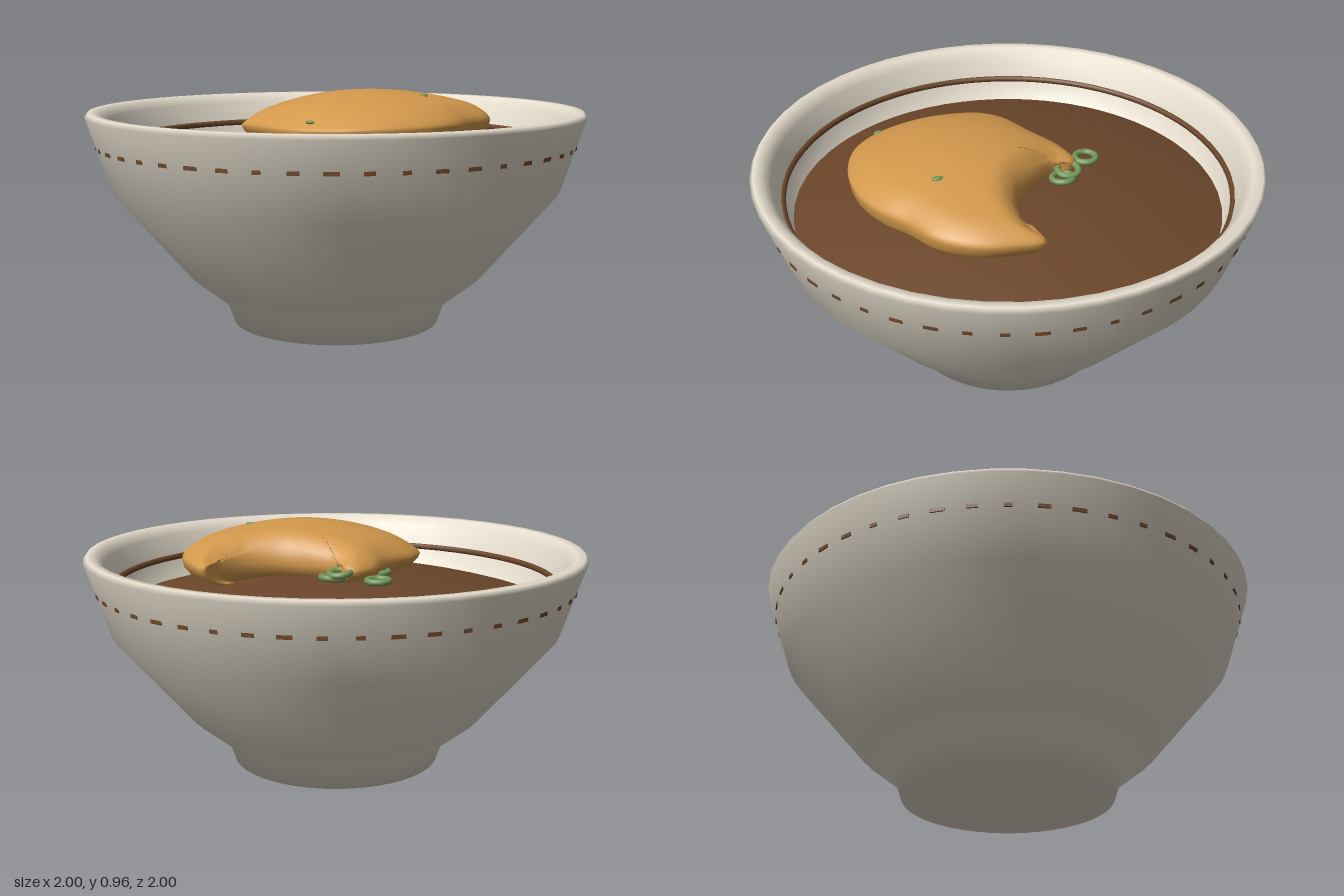
import * as THREE from 'three';

const material = (name, color) => {
  const m = new THREE.MeshStandardMaterial({ color });
  m.name = name;
  return m;
};

export function createModel() {
  const ceramic = material('cream ceramic', 0xe6dece);
  const brown = material('brown sauce', 0x6b462a);
  const golden = material('golden crust', 0xd2984c);
  const green = material('scallion green', 0x739659);

  const group = new THREE.Group();
  const add = (name, geometry, mat, x = 0, y = 0, z = 0) => {
    const mesh = new THREE.Mesh(geometry, mat);
    mesh.name = name;
    mesh.position.set(x, y, z);
    group.add(mesh);
    return mesh;
  };
  const lathe = (profile, segments) =>
    new THREE.LatheGeometry(profile.map(([r, y]) => new THREE.Vector2(r, y)), segments);

  // Bowl: foot, flared wall, rim and inside
  add('bowl', lathe([
    [0, 0], [0.42, 0], [0.45, 0.085], [0.6, 0.205], [0.9, 0.555], [0.998, 0.85], [0.985, 0.868],
    [0.95, 0.866], [0.92, 0.83], [0.885, 0.735], [0.85, 0.645], [0.62, 0.36], [0, 0.28],
  ], 48), ceramic);

  // Gently domed sauce surface
  const dome = [];
  for (let i = 0; i <= 10; i++) {
    const r = 0.853 * (1 - i / 10);
    dome.push([r, 0.65 + 0.13 * (1 - (r / 0.853) ** 2)]);
  }
  add('sauce', lathe(dome, 64), brown);

  // Sauce line inside the wall and the dashes around the outside
  add('innerLine', new THREE.TorusGeometry(0.885, 0.013, 8, 96).rotateX(Math.PI / 2), brown, 0, 0.738, 0);
  const dash = new THREE.BoxGeometry(0.05, 0.017, 0.008);
  for (let i = 0; i < 48; i++) {
    const a = ((i + 0.5) / 48) * Math.PI * 2;
    const mark = add('outerDash', dash, brown, Math.sin(a) * 0.9565, 0.737, Math.cos(a) * 0.9565);
    mark.rotation.y = a;
    mark.scale.x = 0.6 + 0.5 * Math.sin(i * 2.3) ** 2;
  }

  // Fried cutlet: bitten outline with a domed top rounded off near its edge
  const outline = new THREE.CatmullRomCurve3([
    [0.1, -0.25], [0, -0.24], [-0.12, -0.18], [-0.3, -0.14], [-0.4, -0.06], [-0.43, 0.1],
    [-0.44, 0.25], [-0.42, 0.39], [-0.33, 0.52], [-0.18, 0.6], [0, 0.625], [0.15, 0.59],
    [0.26, 0.53], [0.4, 0.47], [0.5, 0.36], [0.55, 0.22], [0.56, 0.115], [0.47, 0.143],
    [0.35, 0.13], [0.24, 0.06], [0.16, -0.05], [0.11, -0.15], [0.125, -0.22],
  ].map(([x, z]) => new THREE.Vector3(x, 0, z)), true).getSpacedPoints(160).slice(0, 160);
  const edgeY = (z) => 0.825 + 0.03 * (z - 0.2);
  const crustY = (x, z) => {
    const d = Math.min(...outline.map((p) => Math.hypot(p.x - x, p.z - z)));
    const top = 0.957 - (x > 0 ? 0.3 : 0.5) * x * x - 0.48 * (z - 0.21) ** 2;
    const round = Math.sqrt(1 - (1 - Math.min(d / 0.1, 1)) ** 2);
    return edgeY(z) + (Math.max(top, 0.845) - edgeY(z)) * round;
  };
  const cx = 0.03, cz = 0.26;
  const lower = [[0, 0.735], [0.8, 0.75], [0.94, 0.775], [0.985, 0.8]];
  const upper = [1, 0.992, 0.975, 0.95, 0.915, 0.87, 0.82, 0.76, 0.7, 0.62, 0.53, 0.43, 0.32, 0.2, 0.08, 0];
  const rows = [...lower, ...upper.map((t) => [t])];
  const positions = [], index = [], n = outline.length;
  rows.forEach(([t, y], i) => outline.forEach((p, j) => {
    const x = cx + (p.x - cx) * t, z = cz + (p.z - cz) * t;
    positions.push(x, y ?? crustY(x, z), z);
    if (i === rows.length - 1) return;
    const a = i * n + j, b = i * n + (j + 1) % n;
    if (i > 0) index.push(a, b, a + n);
    if (i < rows.length - 2) index.push(b, b + n, a + n);
  }));
  const cutlet = new THREE.BufferGeometry();
  cutlet.setAttribute('position', new THREE.Float32BufferAttribute(positions, 3));
  cutlet.setIndex(index);
  cutlet.computeVertexNormals();
  // Both poles are flat
  const normals = cutlet.attributes.normal;
  for (let j = 0; j < n; j++) {
    normals.setXYZ(j, 0, -1, 0);
    normals.setXYZ((rows.length - 1) * n + j, 0, 1, 0);
  }
  add('cutlet', cutlet, golden);

  // Scallion rings on the sauce
  const ring = new THREE.TorusGeometry(0.042, 0.013, 10, 24).rotateX(Math.PI / 2);
  for (const [x, y, z, tilt] of [
    [0.05, 0.79, -0.32, 0], [0.15, 0.79, -0.165, 0.1], [0.135, 0.812, -0.195, -0.15], [-0.1, 0.78, -0.145, 0],
  ]) add('scallionRing', ring, green, x, y, z).rotation.z = tilt;

  // Scallion flecks lying on the crust
  const fleck = new THREE.SphereGeometry(0.018, 12, 8);
  for (const [x, z] of [[-0.37, 0.4], [0.165, 0.365]]) {
    add('scallionFleck', fleck, green, x, crustY(x, z), z).scale.set(0.8, 0.4, 1.2);
  }
  return group;
}
